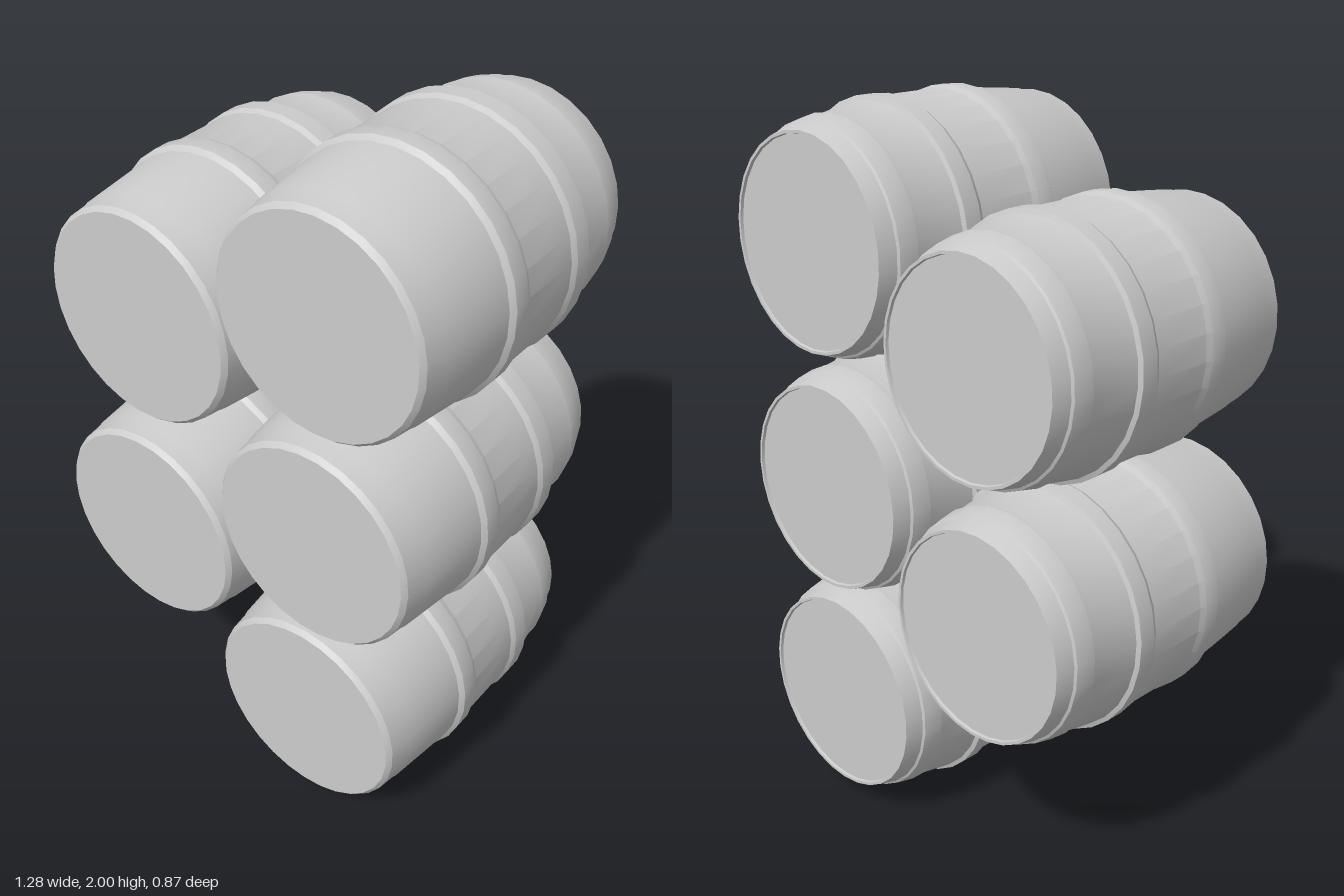
import * as THREE from 'three';
import { toCreasedNormals } from 'three/addons/utils/BufferGeometryUtils.js';

// Barrel profile from the back head to the front head: [radius, z]
const PROFILE = [
  [0, -0.427], [0.274, -0.427], [0.276, -0.435], [0.284, -0.435], // shallow back head and rim
  [0.297, -0.386], [0.304, -0.382], [0.315, -0.33], [0.311, -0.312], // back end hoop
  [0.331, -0.192], [0.343, -0.187], [0.343, -0.135], [0.335, -0.12], // back belly hoop
  [0.335, 0.065], [0.343, 0.082], [0.343, 0.132], [0.331, 0.145], // front belly hoop
  [0.309, 0.35], [0.305, 0.365], [0.299, 0.418], [0.287, 0.432], [0, 0.432], // front chime and head
];

// Stack positions: [x, y, roll]
const STACK = [
  [0.25, 0.35, 0],
  [0.275, 0.98, 0.1],
  [0.297, 1.65, 0.2],
  [-0.302, 0.74, 0.05],
  [-0.277, 1.442, 0.15],
];

export function createModel() {
  const model = new THREE.Group();
  model.name = 'barrelStack';
  const material = new THREE.MeshStandardMaterial({ color: 0xcccccc });

  // Lathe around y, then lay the barrel along z
  const points = PROFILE.map(([r, z]) => new THREE.Vector2(r, z));
  const lathe = new THREE.LatheGeometry(points, 30);
  lathe.rotateX(Math.PI / 2);
  const geometry = toCreasedNormals(lathe, Math.PI / 7);

  STACK.forEach(([x, y, roll], i) => {
    const holder = new THREE.Group();
    holder.name = `barrel${i + 1}`;
    holder.position.set(x, y, 0);
    holder.scale.y = 1.02; // slightly taller than wide
    const barrel = new THREE.Mesh(geometry, material);
    barrel.name = 'barrelBody';
    barrel.rotation.z = roll;
    holder.add(barrel);
    model.add(holder);
  });
  return model;
}
